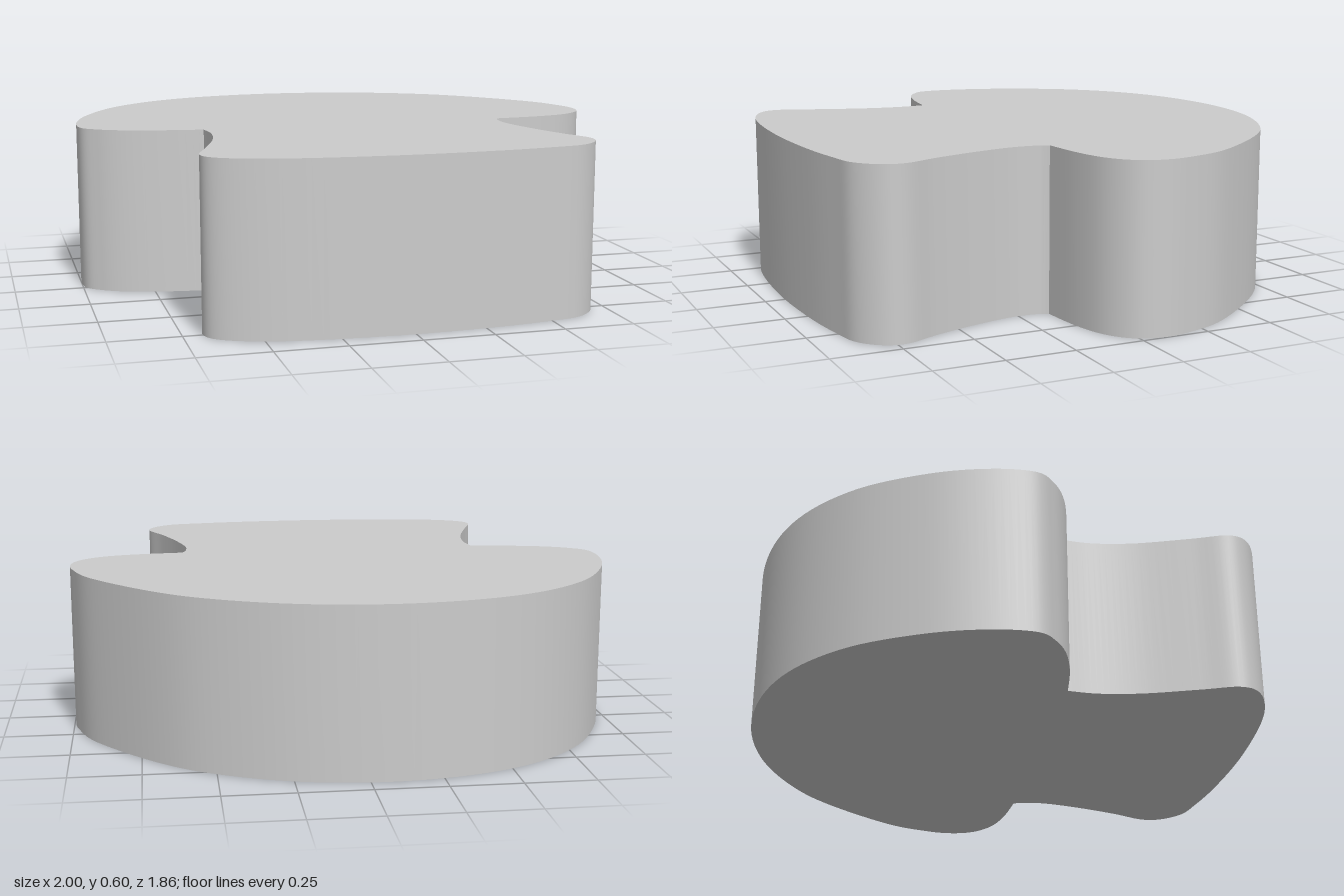
import * as THREE from 'three';
import { toCreasedNormals } from 'three/addons/utils/BufferGeometryUtils.js';

const HEIGHT = 0.6;

// Outline points as [x, z]; the sharp corners are where cap and stem meet.
const cap = [
  [-0.565, 0.157], [-0.72, 0.135], [-0.85, 0.1], [-0.94, 0.05], [-0.995, -0.02], [-0.99, -0.18],
  [-0.93, -0.38], [-0.8, -0.61], [-0.6, -0.79], [-0.35, -0.895], [-0.05, -0.93], [0.25, -0.885],
  [0.52, -0.765], [0.71, -0.61], [0.91, -0.36], [0.98, -0.19], [0.995, -0.08], [0.965, 0.015],
  [0.88, 0.085], [0.75, 0.122], [0.58, 0.14],
];
const stem = [
  [0.58, 0.14], [0.565, 0.18], [0.563, 0.28], [0.6, 0.44], [0.65, 0.59], [0.7, 0.71],
  [0.685, 0.795], [0.61, 0.865], [0.5, 0.89], [0.3, 0.915], [0, 0.927], [-0.3, 0.912],
  [-0.5, 0.88], [-0.64, 0.82], [-0.682, 0.74], [-0.64, 0.61], [-0.58, 0.42], [-0.557, 0.27],
  [-0.565, 0.157],
];

export function createModel() {
  const group = new THREE.Group();
  const toShape = (points) => points.map(([x, z]) => new THREE.Vector2(x, -z));

  // Mushroom outline: one smooth curve round the cap, one round the stem
  const outline = new THREE.Shape();
  const capPoints = toShape(cap);
  outline.moveTo(capPoints[0].x, capPoints[0].y);
  outline.splineThru(capPoints.slice(1));
  outline.splineThru(toShape(stem).slice(1));

  // Upright slab with smooth walls and sharp rims
  const slab = new THREE.ExtrudeGeometry(outline, { depth: HEIGHT, bevelEnabled: false, curveSegments: 6 });
  slab.rotateX(-Math.PI / 2);

  const mesh = new THREE.Mesh(
    toCreasedNormals(slab, 0.6),
    new THREE.MeshStandardMaterial({ color: 0xcccccc })
  );
  mesh.name = 'mushroomSlab';
  group.add(mesh);
  return group;
}
